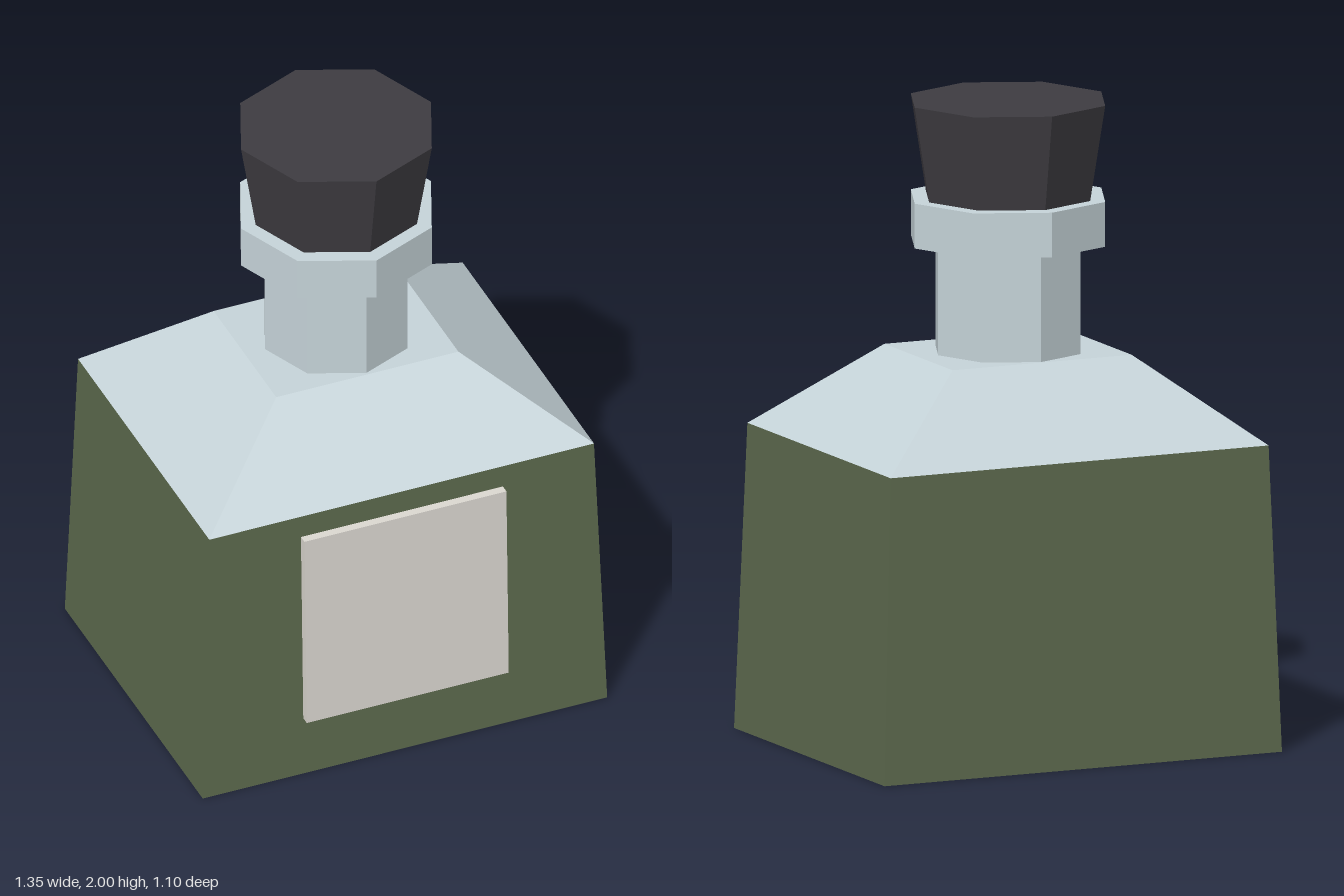
import * as THREE from 'three';

const material = (color) => new THREE.MeshStandardMaterial({ color, flatShading: true });

// Box whose top rectangle differs from its bottom one; sizes are [width, depth]
function taperedBox(bottom, top, y0, y1) {
  const geometry = new THREE.BoxGeometry(1, 1, 1);
  const p = geometry.attributes.position;
  for (let i = 0; i < p.count; i++) {
    const isTop = p.getY(i) > 0;
    const [w, d] = isTop ? top : bottom;
    p.setXYZ(i, p.getX(i) * w, isTop ? y1 : y0, p.getZ(i) * d);
  }
  geometry.computeVertexNormals();
  return geometry;
}

// Eight-sided ring section with a corner facing the front
function octagon(bottomRadius, topRadius, y0, y1) {
  return new THREE.CylinderGeometry(topRadius, bottomRadius, y1 - y0, 8)
    .translate(0, (y0 + y1) / 2, 0);
}

export function createModel() {
  const bottle = new THREE.Group();
  bottle.name = 'bottle';

  const green = material(0x5d6a4e);
  const glass = material(0xc6d4d9);
  const dark = material(0x3e3c41);
  const paper = material(0xdcd8d1);

  const add = (name, geometry, mat) => {
    const mesh = new THREE.Mesh(geometry, mat);
    mesh.name = name;
    bottle.add(mesh);
    return mesh;
  };

  // Body and sloping shoulder
  add('body', taperedBox([1.35, 1.08], [1.284, 1.028], 0, 0.955), green);
  add('shoulder', taperedBox([1.284, 1.028], [0.608, 0.49], 0.955, 1.22), glass);

  // Neck, lip and stopper
  add('neck', octagon(0.237, 0.237, 1.22, 1.56), glass);
  add('lip', octagon(0.317, 0.317, 1.56, 1.7), glass);
  add('stopper', octagon(0.268, 0.317, 1.7, 2), dark);

  // Label plate leaning back with the front wall
  const label = new THREE.BoxGeometry(0.674, 0.675, 0.04);
  label.applyMatrix4(new THREE.Matrix4().makeShear(0, 0, 0, 0.027, 0, 0));
  const p = label.attributes.position;
  for (let i = 0; i < p.count; i++) {
    const lean = -0.027 * p.getY(i);
    p.setZ(i, (p.getZ(i) > 0 ? 0.02 : -0.02) + lean);
  }
  label.translate(0, 0.5425, 0.533);
  label.computeVertexNormals();
  add('label', label, paper);

  // The label sticks out in front, so the bottle sits slightly back
  bottle.children.forEach((part) => { part.position.z = -0.008; });
  return bottle;
}
